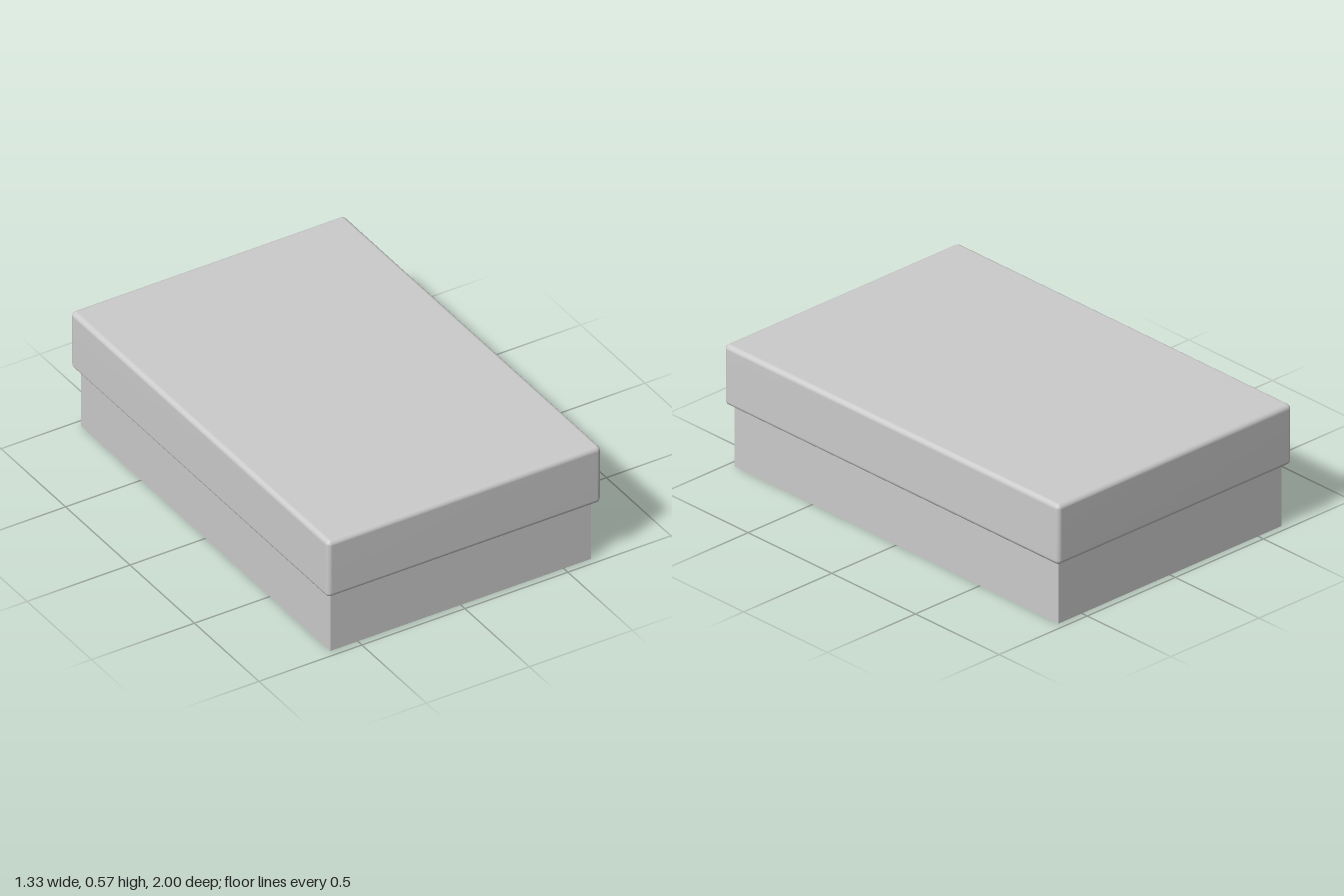
import * as THREE from 'three';
import { mergeVertices } from 'three/addons/utils/BufferGeometryUtils.js';

const W = 1.33, D = 2, TOP = 0.567, LEDGE = 0.287; // lid size and heights
const R = 0.022;      // edge rounding of the lid
const INSET = 0.032;  // skirt is set in from the lid
const N = 5;          // steps per rounded edge

// rounded rectangle at height y, drawn in from the lid outline by inset
function loop(inset, y) {
  const r = Math.max(0, R - inset);
  const cx = W / 2 - inset - r, cz = D / 2 - inset - r;
  const points = [];
  [[1, 1], [-1, 1], [-1, -1], [1, -1]].forEach(([sx, sz], q) => {
    for (let i = 0; i <= N; i++) {
      const a = (q + i / N) * Math.PI / 2;
      points.push([sx * cx + r * Math.cos(a), y, sz * cz + r * Math.sin(a)]);
    }
  });
  return points;
}

// skin between successive loops, optionally closed at the top
function skin(loops, capY) {
  const n = loops[0].length, index = [];
  const pos = loops.flat(2);
  for (let j = 0; j < loops.length - 1; j++) {
    for (let i = 0; i < n; i++) {
      const a = j * n + i, b = j * n + (i + 1) % n;
      index.push(a, a + n, b, b, a + n, b + n);
    }
  }
  if (capY !== undefined) {
    const base = (loops.length - 1) * n, centre = loops.length * n;
    pos.push(0, capY, 0);
    for (let i = 0; i < n; i++) index.push(base + i, centre, base + (i + 1) % n);
  }
  const raw = new THREE.BufferGeometry();
  raw.setAttribute('position', new THREE.Float32BufferAttribute(pos, 3));
  raw.setIndex(index);
  const geometry = mergeVertices(raw, 1e-5);
  geometry.computeVertexNormals();
  return geometry;
}

export function createModel() {
  const group = new THREE.Group();
  const material = new THREE.MeshStandardMaterial({ color: 0xcccccc, side: THREE.DoubleSide });

  // lid: hollow shell with rounded edges and a narrow ledge underneath
  const loops = [loop(INSET, LEDGE)];
  for (const top of [false, true]) {
    for (let i = 0; i <= N; i++) {
      const a = (i / N) * Math.PI / 2;
      loops.push(top
        ? loop(R * (1 - Math.cos(a)), TOP - R + R * Math.sin(a))
        : loop(R * (1 - Math.sin(a)), LEDGE + R - R * Math.cos(a)));
    }
  }
  const lid = new THREE.Mesh(skin(loops, TOP), material);
  lid.name = 'lid';
  group.add(lid);

  // skirt: four thin walls, open below
  const skirt = new THREE.Group();
  skirt.name = 'skirt';
  const w = W - 2 * INSET, d = D - 2 * INSET;
  for (let i = 0; i < 4; i++) {
    const side = i % 2 === 1;
    const wall = new THREE.Mesh(new THREE.PlaneGeometry(side ? d : w, LEDGE), material);
    const a = i * Math.PI / 2;
    wall.rotation.y = a;
    wall.position.set(Math.sin(a) * w / 2, LEDGE / 2, Math.cos(a) * d / 2);
    wall.name = ['frontWall', 'leftWall', 'backWall', 'rightWall'][i];
    skirt.add(wall);
  }
  group.add(skirt);
  return group;
}
